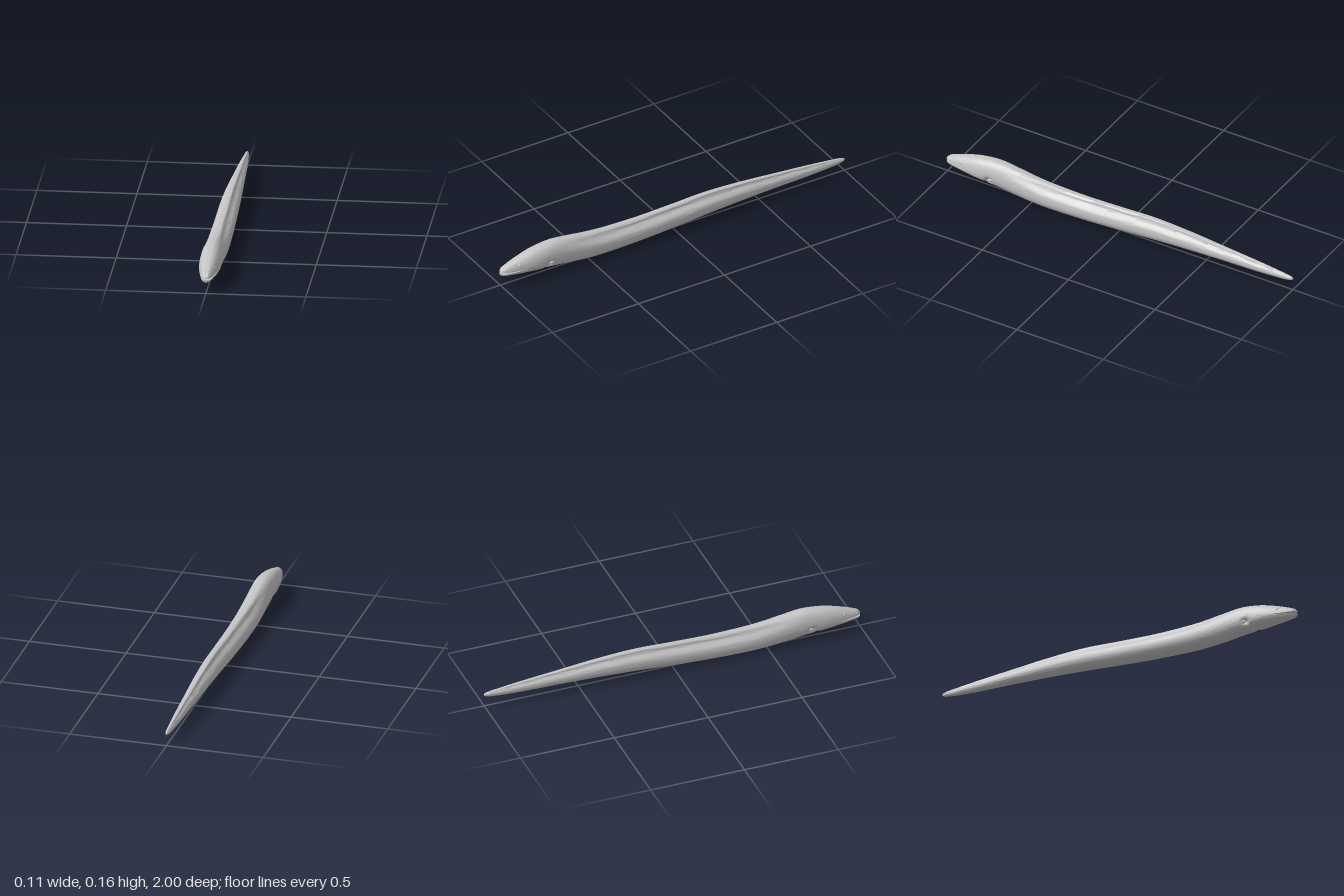
import * as THREE from 'three';
import { toCreasedNormals } from 'three/addons/utils/BufferGeometryUtils.js';

// Cross-sections: z, top, bottom, half width, height of widest point, crest pinch
const SECTIONS = [
  [-1.0, 0.072, 0.061, 0.004, 0.067, 0],
  [-0.985, 0.078, 0.055, 0.009, 0.066, 0.1],
  [-0.93, 0.086, 0.049, 0.014, 0.064, 0.35],
  [-0.8, 0.1, 0.044, 0.022, 0.066, 0.48],
  [-0.6, 0.118, 0.042, 0.031, 0.07, 0.52],
  [-0.4, 0.135, 0.037, 0.04, 0.074, 0.52],
  [-0.2, 0.144, 0.028, 0.047, 0.072, 0.52],
  [0.0, 0.137, 0.015, 0.051, 0.063, 0.52],
  [0.2, 0.131, 0.005, 0.054, 0.055, 0.48],
  [0.4, 0.135, 0.001, 0.056, 0.055, 0.38],
  [0.5, 0.143, 0.004, 0.056, 0.062, 0.25],
  [0.6, 0.156, 0.013, 0.055, 0.075, 0.1],
  [0.7, 0.166, 0.027, 0.055, 0.082, 0],
  [0.8, 0.156, 0.036, 0.054, 0.08, 0],
  [0.86, 0.142, 0.042, 0.048, 0.077, 0],
  [0.92, 0.124, 0.047, 0.038, 0.075, 0],
  [0.97, 0.106, 0.051, 0.027, 0.075, 0],
  [0.99, 0.097, 0.054, 0.02, 0.075, 0],
  [1.0, 0.087, 0.06, 0.009, 0.075, 0],
];
const SIDES = 56;
const bell = (d) => Math.exp(-d * d);

// Smooth interpolation through the section table
function sectionAt(z) {
  let i = 0;
  while (i < SECTIONS.length - 2 && z > SECTIONS[i + 1][0]) i++;
  const a = SECTIONS[i], b = SECTIONS[i + 1];
  const p = SECTIONS[Math.max(0, i - 1)], n = SECTIONS[Math.min(SECTIONS.length - 1, i + 2)];
  const h = b[0] - a[0], t = (z - a[0]) / h;
  return a.map((_, k) => {
    const m0 = (b[k] - p[k]) / (b[0] - p[0]) * h;
    const m1 = (n[k] - a[k]) / (n[0] - a[0]) * h;
    return (2 * t ** 3 - 3 * t * t + 1) * a[k] + (t ** 3 - 2 * t * t + t) * m0
      + (3 * t * t - 2 * t ** 3) * b[k] + (t ** 3 - t * t) * m1;
  });
}

// Loft from z0 to z1; part is 'whole', 'upper' or 'lower'
function loft(z0, z1, rings, part) {
  const pos = [], index = [];
  for (let i = 0; i <= rings; i++) {
    const f = i / rings;
    const z = part === 'whole' ? z0 + (z1 - z0) * f : z0 + (z1 - z0) * Math.sin(f * Math.PI / 2);
    const [, top, bottom, w, mid, pinch] = sectionAt(z);
    const open = Math.max(0, (z - 0.86) / 0.14);
    for (let j = 0; j < SIDES; j++) {
      const a = j / SIDES * Math.PI * 2;
      const c = Math.cos(a), s = Math.sin(a);
      let x = w * Math.sign(c) * Math.abs(c) ** 0.85;
      let y = mid + s * (s > 0 ? top - mid : mid - bottom);
      // Groove on each side of the back leaves a raised fin crest
      if (s > 0) x *= 1 - pinch * bell((s - 0.76) / 0.22);
      if (part === 'whole') {
        // Gill pit, and a throat fold running down and forward from it
        x *= 1 - 0.24 * bell((z - 0.735) / 0.02) * bell((y - 0.068) / 0.014);
        if (s < 0) {
          const fold = 0.08 * bell((z - 0.735 - (0.068 - y)) / 0.012) * Math.min(1, -s * 3);
          x *= 1 - fold;
          y += (mid - y) * fold;
        }
      }
      // Flat mouth faces
      if (part === 'upper') y = Math.max(y, mid + 0.003 * open);
      if (part === 'lower') y = Math.min(y, mid - 0.006 * open);
      pos.push(x, y, z);
    }
  }
  for (let i = 0; i < rings; i++) {
    for (let j = 0; j < SIDES; j++) {
      const a = i * SIDES + j, b = i * SIDES + (j + 1) % SIDES;
      index.push(a, b, a + SIDES, b, b + SIDES, a + SIDES);
    }
  }
  // Close both ends
  for (let j = 1; j < SIDES - 1; j++) {
    const e = rings * SIDES;
    index.push(0, j + 1, j, e, e + j, e + j + 1);
  }
  const geo = new THREE.BufferGeometry();
  geo.setAttribute('position', new THREE.Float32BufferAttribute(pos, 3));
  geo.setIndex(index);
  return toCreasedNormals(geo, 0.9);
}

export function createModel() {
  const model = new THREE.Group();
  model.name = 'eel';
  const skin = new THREE.MeshStandardMaterial({ color: 0xc4c4c4 });
  skin.name = 'light grey skin';

  const add = (name, geo) => {
    const mesh = new THREE.Mesh(geo, skin);
    mesh.name = name;
    model.add(mesh);
    return mesh;
  };

  add('body', loft(-1, 0.86, 320, 'whole'));
  add('upperJaw', loft(0.855, 1, 24, 'upper'));
  add('lowerJaw', loft(0.855, 1, 24, 'lower'));

  for (const side of [1, -1]) {
    const label = side > 0 ? 'left' : 'right';
    // Low domed eye
    const eye = add(label + 'Eye', new THREE.SphereGeometry(0.01, 20, 14));
    eye.position.set(side * 0.0325, 0.104, 0.905);
    eye.rotation.set(0, side * -0.25, side * 0.5);
    eye.scale.set(0.5, 1, 1);
    // Small fin bud in the gill pit
    const bud = add(label + 'FinBud', new THREE.SphereGeometry(0.01, 16, 12));
    bud.position.set(side * 0.046, 0.068, 0.725);
    bud.scale.set(0.6, 0.8, 1.3);
  }
  return model;
}
